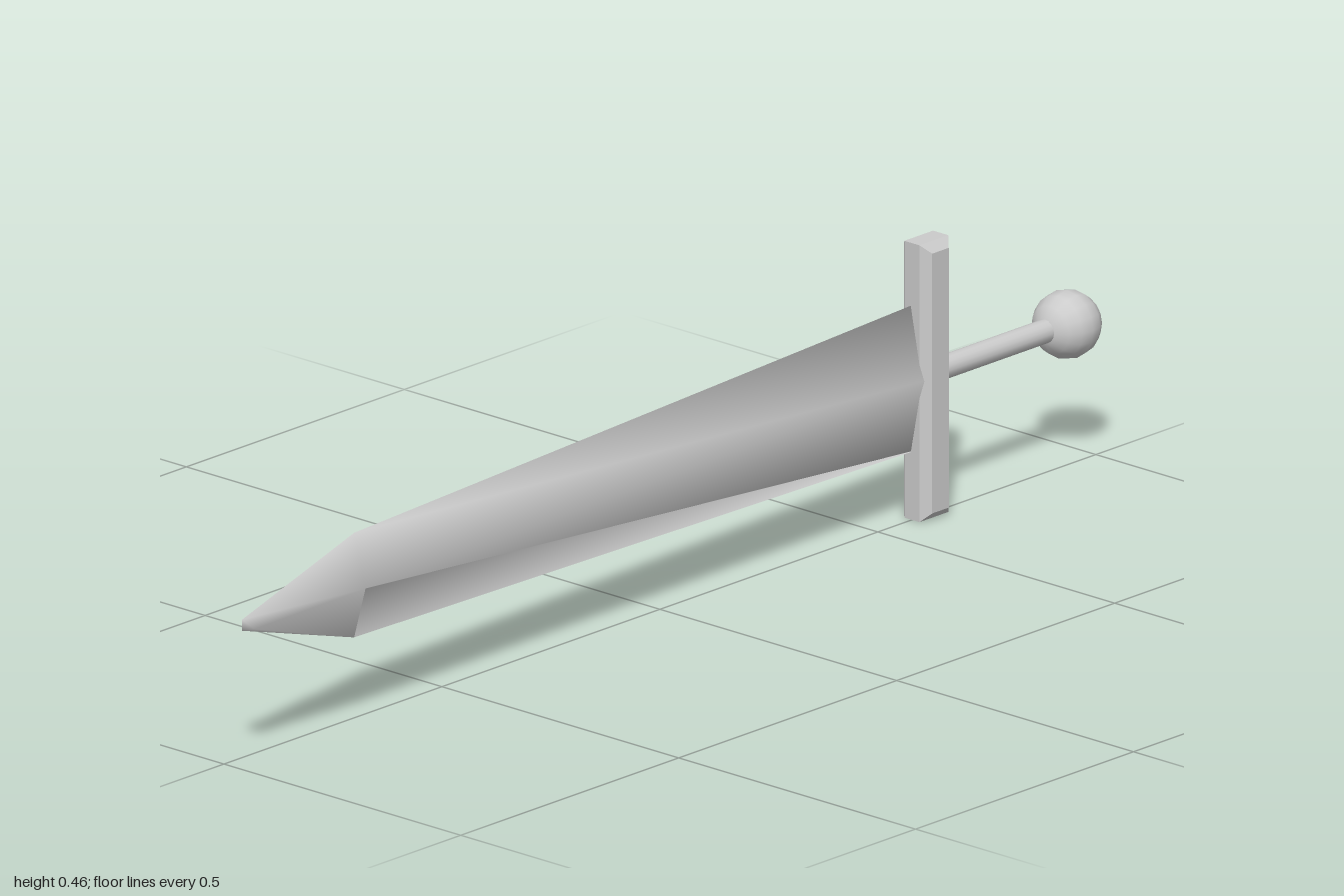
import * as THREE from 'three';

const material = new THREE.MeshStandardMaterial({ color: 0xcccccc });

function addPart(group, name, geometry) {
  const mesh = new THREE.Mesh(geometry, material);
  mesh.name = name;
  group.add(mesh);
  return mesh;
}

// Blade lofted from triangular sections: flat back, raised ridge at the front
function bladeGeometry() {
  const sections = [ // x, middle y, half width, back z, ridge z
    [0.6, 0.231, 0.121, -0.003, 0.021],
    [-0.735, 0.234, 0.086, 0.031, 0.055],
    [-1, 0.237, 0.009, 0.038, 0.065],
  ];
  const points = [], index = [];
  for (const [x, y, w, back, ridge] of sections) {
    points.push(x, y + w, back, x, y, ridge, x, y - w, back);
  }
  for (let s = 0; s < sections.length - 1; s++) {
    for (let k = 0; k < 3; k++) {
      const a = s * 3 + k, b = s * 3 + (k + 1) % 3;
      index.push(a, a + 3, b, b, a + 3, b + 3);
    }
  }
  const e = (sections.length - 1) * 3;
  index.push(0, 1, 2, e, e + 2, e + 1);
  // Ensure the winding faces outward
  const geometry = new THREE.BufferGeometry();
  geometry.setAttribute('position', new THREE.Float32BufferAttribute(points, 3));
  geometry.setIndex(index);
  geometry.computeVertexNormals();
  return geometry;
}

// Box with a single flat chamfer on every edge
function chamferedBox(w, h, d, c) {
  const x = w / 2 - c, y = h / 2 - c;
  const shape = new THREE.Shape([
    new THREE.Vector2(-x, -y), new THREE.Vector2(x, -y),
    new THREE.Vector2(x, y), new THREE.Vector2(-x, y),
  ]);
  const geometry = new THREE.ExtrudeGeometry(shape, {
    depth: d - 2 * c, bevelEnabled: true, bevelSize: c, bevelThickness: c, bevelSegments: 1,
  });
  return geometry.translate(0, 0, c - d / 2);
}

export function createModel() {
  const model = new THREE.Group();
  model.name = 'sword';

  addPart(model, 'blade', bladeGeometry());

  const guard = addPart(model, 'crossGuard', chamferedBox(0.066, 0.455, 0.06, 0.014));
  guard.position.set(0.611, 0.2275, 0);

  // Grip runs from the guard to the pommel, leaning slightly back
  const start = new THREE.Vector3(0.61, 0.232, -0.001);
  const end = new THREE.Vector3(0.93, 0.228, -0.009);
  const along = end.clone().sub(start);
  const grip = addPart(model, 'grip', new THREE.CylinderGeometry(0.019, 0.019, along.length(), 16));
  grip.position.copy(start).add(end).multiplyScalar(0.5);
  grip.quaternion.setFromUnitVectors(new THREE.Vector3(0, 1, 0), along.normalize());

  // Pommel with its pole pointing along the grip
  const pommel = addPart(model, 'pommel', new THREE.SphereGeometry(0.055, 16, 8));
  pommel.position.set(0.943, 0.227, -0.009);
  pommel.quaternion.copy(grip.quaternion);

  return model;
}
